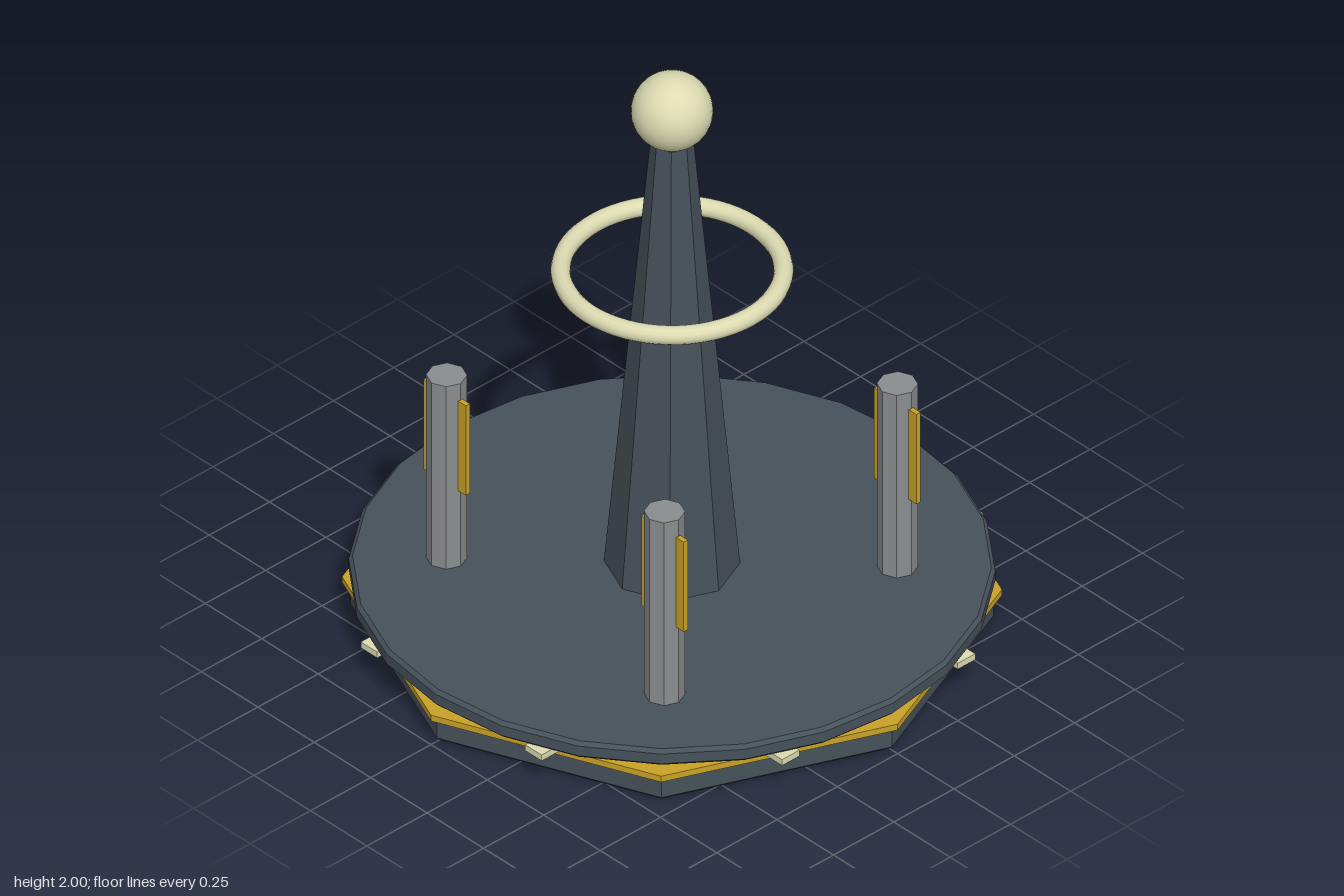
import * as THREE from 'three';

const mat = (name, color, flatShading = false) => {
  const m = new THREE.MeshStandardMaterial({ color });
  m.name = name;
  m.flatShading = flatShading;
  return m;
};

export function createModel() {
  const slate = mat('slate', 0x46515a, true);
  const gold = mat('gold', 0xc9a227, true);
  const grey = mat('grey', 0x8a8d8f, true);
  const cream = mat('cream', 0xdcdbb2);

  const model = new THREE.Group();
  model.name = 'ringTower';
  const add = (name, geometry, material, x = 0, y = 0, z = 0) => {
    const mesh = new THREE.Mesh(geometry, material);
    mesh.name = name;
    mesh.position.set(x, y, z);
    model.add(mesh);
    return mesh;
  };

  // Disc with chamfered rims
  const disc = (r, y0, y1, b, sides) => new THREE.LatheGeometry([
    [0, y0], [r - b, y0], [r, y0 + b], [r, y1 - b], [r - b, y1], [0, y1],
  ].map(([x, y]) => new THREE.Vector2(x, y)), sides);

  // Octagonal base, gold trim and round deck
  add('base', disc(0.975, 0, 0.09, 0.012, 8), slate);
  add('trim', new THREE.CylinderGeometry(1, 1, 0.022, 8), gold, 0, 0.099, 0);
  add('deck', disc(0.98, 0.13, 0.19, 0.012, 24), slate);

  // Spacer blocks between trim and deck
  const block = new THREE.BoxGeometry(0.073, 0.022, 0.073);
  for (let i = 0; i < 8; i++) {
    const a = (i + 0.5) * Math.PI / 4;
    add('spacer', block, cream, 0.952 * Math.sin(a), 0.12, 0.952 * Math.cos(a));
  }

  // Tapered tower, ball and floating ring
  add('tower', new THREE.CylinderGeometry(0.063, 0.207, 1.61, 8), slate, 0, 0.99, 0);
  add('ball', new THREE.SphereGeometry(0.125, 32, 20), cream, 0, 1.875, 0);
  add('ring', new THREE.TorusGeometry(0.338, 0.03, 12, 64), cream, 0, 1.28, 0).rotation.x = Math.PI / 2;

  // Four posts, each with a gold fin running through it
  const post = new THREE.CylinderGeometry(0.0625, 0.0625, 0.69, 8);
  const fin = new THREE.BoxGeometry(0.017, 0.335, 0.188);
  for (const x of [-0.483, 0.483]) {
    for (const z of [-0.483, 0.483]) {
      add('post', post, grey, x, 0.527, z);
      add('fin', fin, gold, x, 0.642, z);
    }
  }
  return model;
}
